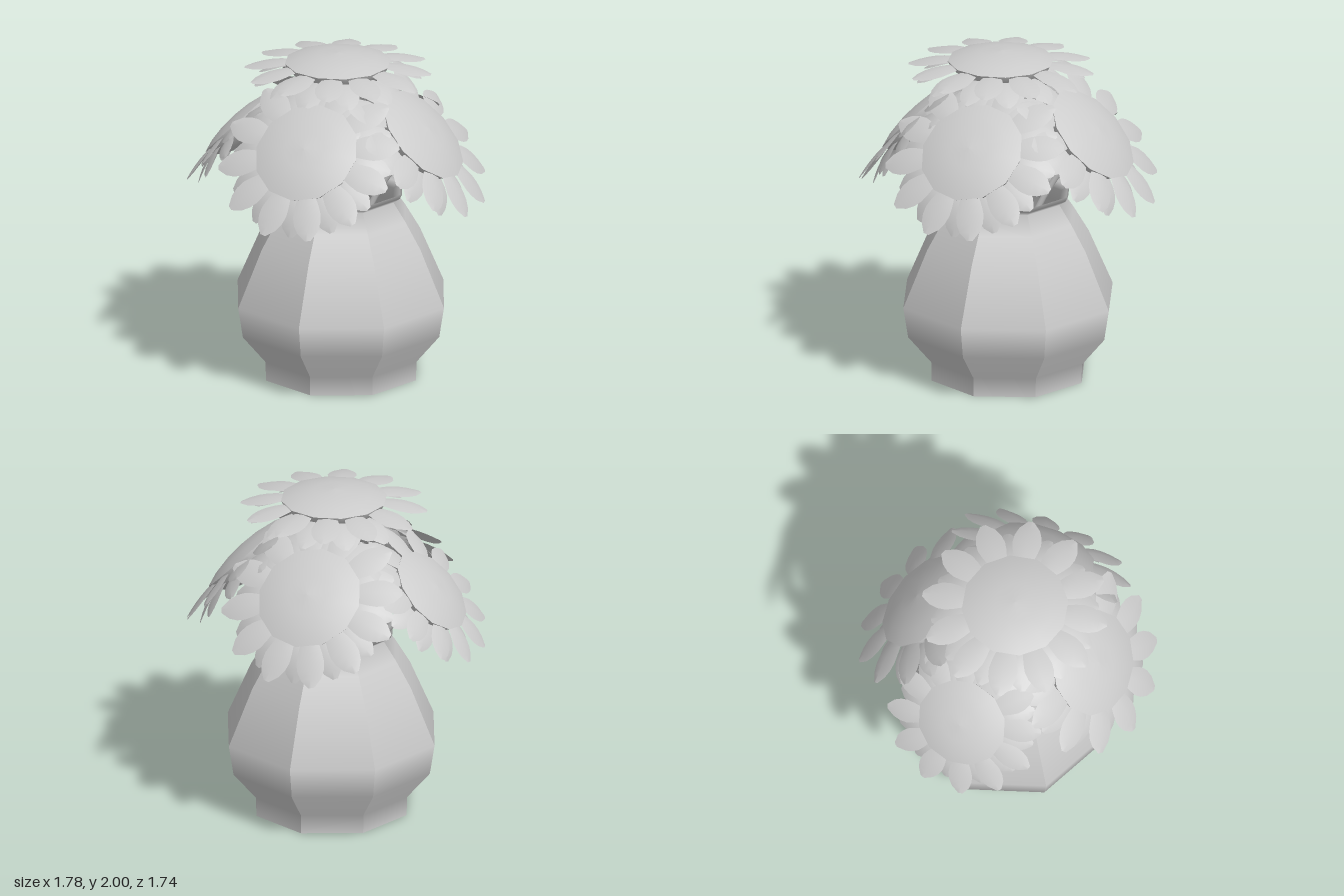
import * as THREE from 'three';

const material = new THREE.MeshStandardMaterial({ color: 0xcccccc, side: THREE.DoubleSide });
const AXIS = { x: 0.035, z: -0.02 }; // vase centre

function addMesh(parent, name, geometry) {
  const mesh = new THREE.Mesh(geometry, material);
  mesh.name = name;
  parent.add(mesh);
  return mesh;
}

// One flat facet of the vase, smooth along its height; profile is [radius, y] from top to bottom
function vasePanel(profile, a0, a1) {
  const g = new THREE.PlaneGeometry(1, 1, 1, profile.length - 1);
  const p = g.attributes.position;
  for (let i = 0; i < p.count; i++) {
    const [r, y] = profile[Math.floor(i / 2)];
    const a = i % 2 ? a1 : a0;
    p.setXYZ(i, r * Math.sin(a), y, r * Math.cos(a));
  }
  g.computeVertexNormals();
  // share one normal across each row so the facet shades evenly from left to right
  const n = g.attributes.normal;
  for (let i = 0; i < n.count; i += 2) {
    const v = new THREE.Vector3().fromBufferAttribute(n, i);
    v.add(new THREE.Vector3().fromBufferAttribute(n, i + 1)).normalize();
    n.setXYZ(i, v.x, v.y, v.z);
    n.setXYZ(i + 1, v.x, v.y, v.z);
  }
  return g;
}

function makeVase() {
  const vase = new THREE.Group();
  vase.name = 'vase';
  vase.position.set(AXIS.x, 0, AXIS.z);
  const profile = [
    [0.39, 1.15], [0.375, 1.12], [0.335, 1.09], [0.41, 0.98], [0.505, 0.82],
    [0.655, 0.475], [0.625, 0.29], [0.48, 0.115], [0.478, 0],
  ];
  const step = Math.PI / 4;
  for (let i = 0; i < 8; i++) {
    addMesh(vase, 'vaseSide', vasePanel(profile, i * step, (i + 1) * step));
  }
  addMesh(vase, 'vaseBase', new THREE.CircleGeometry(0.478, 8).rotateX(Math.PI / 2));
  return vase;
}

// Cupped, blunt-tipped petal running along +z, drooping towards its tip
function petalGeometry(start, end, width, base, droop) {
  const halfWidths = [0.55, 0.7, 0.88, 1, 0.95, 0.72, 0.2];
  const g = new THREE.PlaneGeometry(1, 1, 2, halfWidths.length - 1);
  const p = g.attributes.position;
  for (let i = 0; i < p.count; i++) {
    const row = Math.floor(i / 3);
    const side = (i % 3) - 1;
    const t = row / (halfWidths.length - 1);
    const w = halfWidths[row];
    p.setXYZ(
      i,
      side * w * width / 2,
      base - droop * t * t - Math.abs(side) * w * 0.015,
      start + (end - start) * t
    );
  }
  g.computeVertexNormals();
  return g;
}

const lathe = (points) => new THREE.LatheGeometry(points.map(([r, y]) => new THREE.Vector2(r, y)), 12);

const seedDome = lathe([[0.315, 0], [0.23, 0.03], [0.12, 0.05], [0, 0.057]]);
const headBack = lathe([[0.015, -0.05], [0.05, -0.085], [0.09, -0.12], [0.17, -0.122], [0.25, -0.085], [0.295, -0.04], [0.315, 0]]);
const upperPetal = petalGeometry(0.25, 0.552, 0.17, -0.003, 0.052);
const lowerPetal = petalGeometry(0.25, 0.495, 0.15, -0.035, 0.09);
const PETALS = 12;

function makeFlower({ at, yaw = 0, tilt = 0, size = 1 }) {
  const flower = new THREE.Group();
  flower.name = 'flower';
  flower.position.set(...at);
  flower.rotation.set(tilt, yaw, 0, 'YXZ');
  flower.scale.setScalar(size);
  addMesh(flower, 'seedDome', seedDome);
  addMesh(flower, 'flowerHeadBack', headBack);
  for (let i = 0; i < PETALS; i++) {
    const step = (2 * Math.PI) / PETALS;
    addMesh(flower, 'upperPetal', upperPetal).rotation.y = (i + 0.5) * step;
    addMesh(flower, 'lowerPetal', lowerPetal).rotation.y = i * step;
  }
  return flower;
}

// Stem rising inside the vase and bending out to the back of its flower
function makeStem({ at, yaw = 0, tilt = 0, size = 1 }) {
  const axis = new THREE.Vector3(0, 1, 0).applyEuler(new THREE.Euler(tilt, yaw, 0, 'YXZ'));
  const end = new THREE.Vector3(...at).addScaledVector(axis, -0.04 * size);
  const start = new THREE.Vector3(AXIS.x, 0.2, AXIS.z);
  const bend = new THREE.Vector3(AXIS.x, end.y - (tilt ? 0.56 : 0.8), AXIS.z);
  return new THREE.TubeGeometry(new THREE.QuadraticBezierCurve3(start, bend, end), 12, 0.018, 8);
}

export function createModel() {
  const model = new THREE.Group();
  model.name = 'flowerVase';
  model.add(makeVase());

  // One upright flower with four leaning outwards around it
  const tilt = 0.8;
  const flowers = [
    { at: [0.035, 1.943, 0.025] },
    { at: [0.04, 1.54, 0.53], yaw: 0, tilt },
    { at: [0.555, 1.54, -0.028], yaw: Math.PI / 2, tilt },
    { at: [-0.035, 1.54, -0.54], yaw: Math.PI, tilt },
    { at: [-0.605, 1.47, -0.022], yaw: -Math.PI / 2, tilt, size: 0.86 },
  ];
  for (const f of flowers) {
    model.add(makeFlower(f));
    addMesh(model, 'stem', makeStem(f));
  }
  return model;
}
